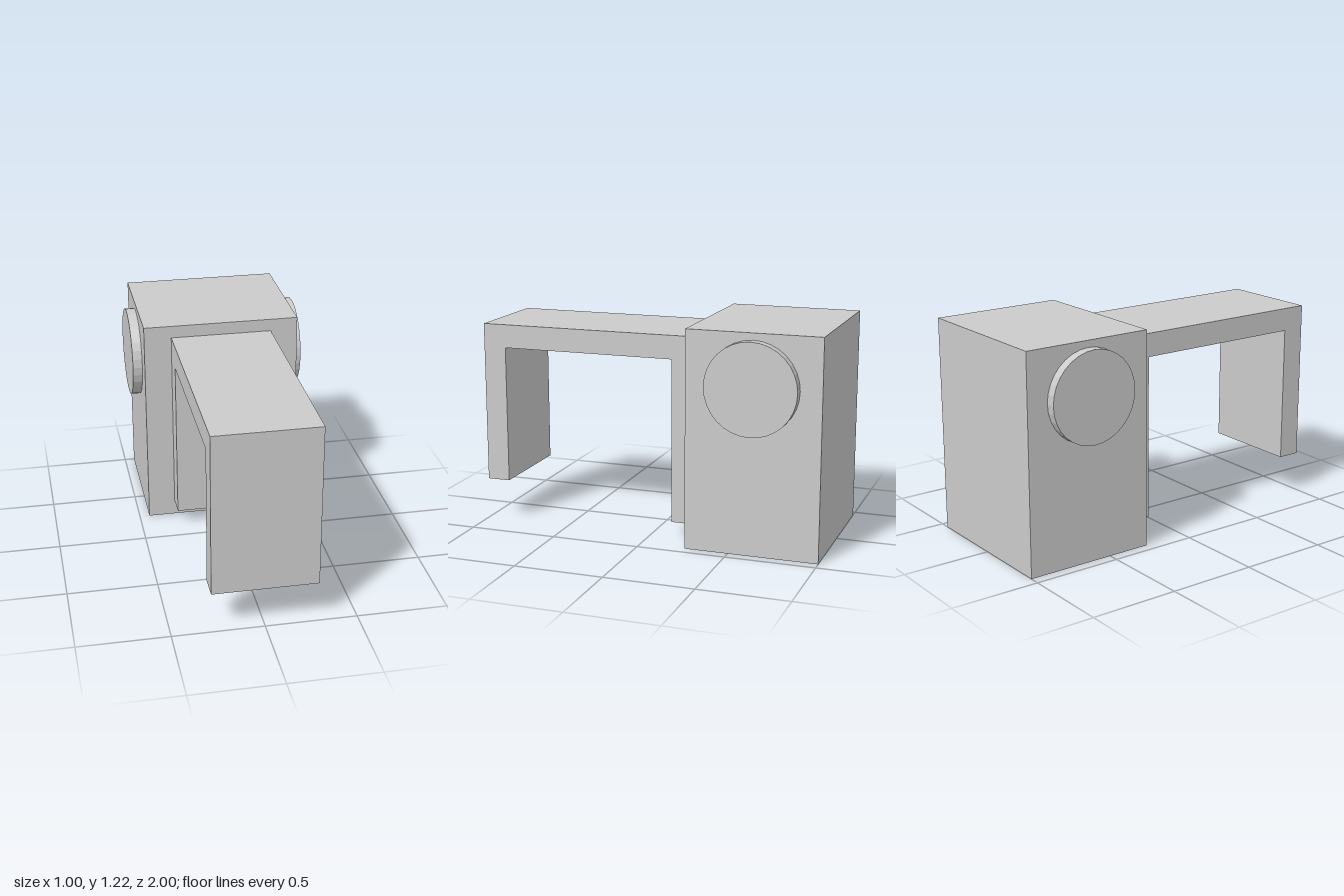
import * as THREE from 'three';

export function createModel() {
  const group = new THREE.Group();
  const material = new THREE.MeshStandardMaterial({ color: 0xcccccc, flatShading: true });

  const add = (name, geometry, x, y, z) => {
    const mesh = new THREE.Mesh(geometry, material);
    mesh.name = name;
    mesh.position.set(x, y, z);
    group.add(mesh);
  };

  // Main block
  add('body', new THREE.BoxGeometry(0.886, 1.215, 0.745), 0, 0.6075, -0.6275);

  // Round side caps, slightly sunk into the block
  for (const side of [1, -1]) {
    const disc = new THREE.CylinderGeometry(0.254, 0.254, 0.075, 32).rotateZ(Math.PI / 2);
    add(side > 0 ? 'leftDisc' : 'rightDisc', disc, side * 0.46, 0.923, -0.627);
  }

  // Hooked arm: side profile as (z, y), extruded across the width
  const width = 0.576;
  const profile = new THREE.Shape([
    [-0.255, 0.09], [-0.125, 0.09], [-0.125, 1.013], [0.87, 1.013],
    [0.87, 0.233], [1, 0.233], [1, 1.145], [-0.255, 1.145],
  ].map(([z, y]) => new THREE.Vector2(z, y)));
  const arm = new THREE.ExtrudeGeometry(profile, { depth: width, bevelEnabled: false })
    .translate(0, 0, -width / 2)
    .rotateY(-Math.PI / 2);
  add('hookArm', arm, 0, 0, 0);

  return group;
}
